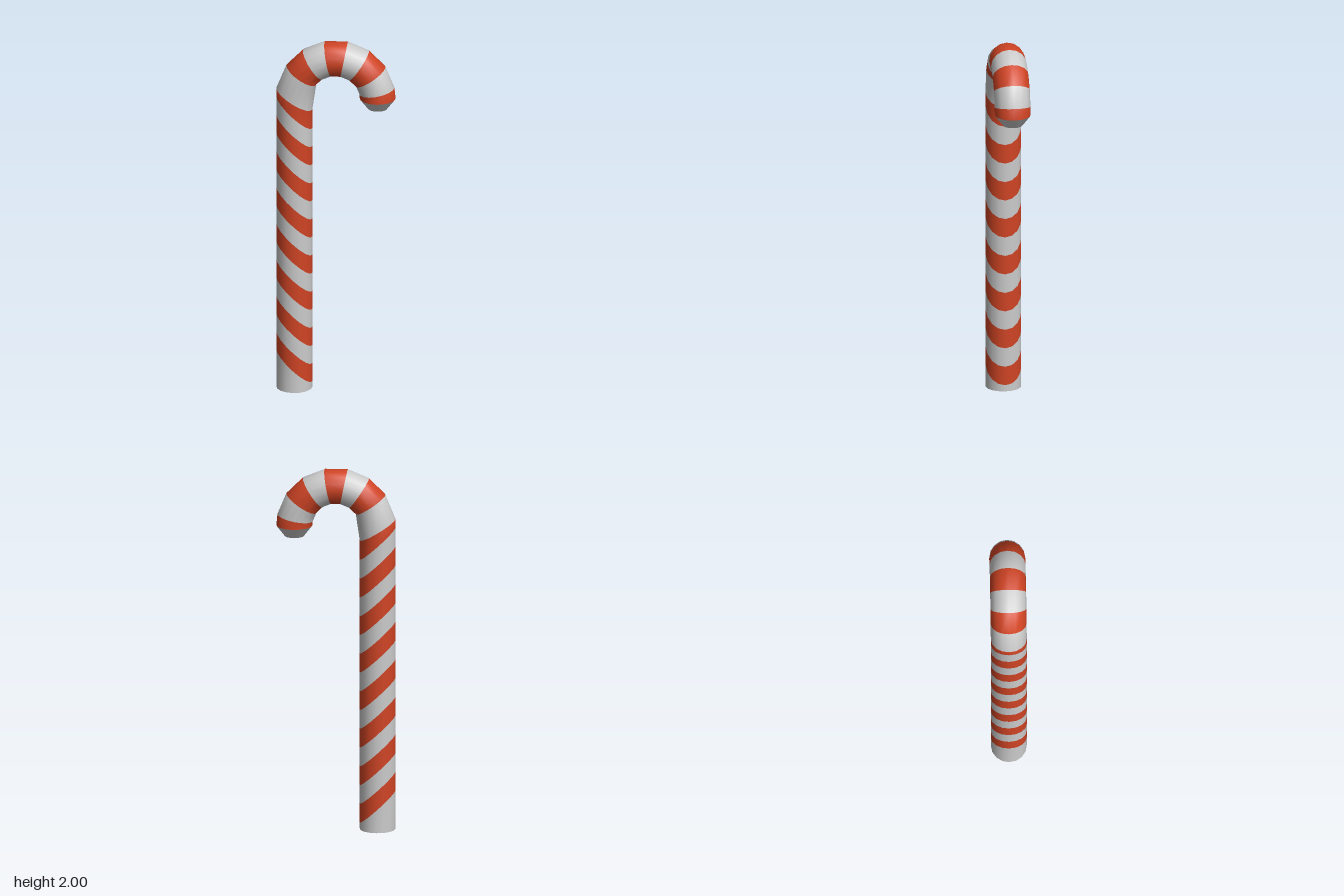
import * as THREE from 'three';

const SIDES = 16, R = 0.097;      // cane thickness
const BEND = 0.225, BEND_Y = 1.685; // centre line of the hook

// Slanted ring on the straight shaft, higher on the outer side
const shaftRing = (y, rise) => (c, s) => [-BEND + R * c, y - rise * c, R * s];

// Ring on the hook, t measured from the top of the bend
const hookRing = (deg) => (c, s) => {
  const t = THREE.MathUtils.degToRad(deg), d = BEND - R * c;
  return [Math.sin(t) * d, BEND_Y + Math.cos(t) * d, R * s];
};

export function createModel() {
  const white = new THREE.MeshStandardMaterial({ color: 0xcccccc });
  const red = new THREE.MeshStandardMaterial({ color: 0xd04424 });

  // Every ring is a border between a white and a red stripe
  const rings = [shaftRing(0, 0)];
  for (let i = 0; i < 15; i++) rings.push(shaftRing(0.125 + 0.1048 * i, 0.09));
  rings.push(shaftRing(1.67, 0.06));
  for (let deg = -56.25; deg < 80; deg += 22.5) rings.push(hookRing(deg));
  rings.push(hookRing(90));

  const positions = [], stripes = [[], []];
  rings.forEach((ring, i) => {
    for (let j = 0; j < SIDES; j++) {
      const a = (j / SIDES) * Math.PI * 2;
      positions.push(...ring(Math.cos(a), Math.sin(a)));
      if (i === rings.length - 1) continue;
      const k = (j + 1) % SIDES;
      const p = i * SIDES + j, q = i * SIDES + k;
      stripes[i % 2].push(p, p + SIDES, q, q, p + SIDES, q + SIDES);
    }
  });

  // Normals are shared so the shading runs smoothly across the stripes
  const tube = new THREE.BufferGeometry();
  tube.setAttribute('position', new THREE.Float32BufferAttribute(positions, 3));
  tube.setIndex([...stripes[0], ...stripes[1]]);
  tube.computeVertexNormals();

  const cane = new THREE.Group();
  cane.name = 'candyCane';
  const add = (name, geometry, material) => {
    const mesh = new THREE.Mesh(geometry, material);
    mesh.name = name;
    cane.add(mesh);
    return mesh;
  };
  ['whiteStripes', 'redStripes'].forEach((name, n) => {
    const g = tube.clone();
    g.setIndex(stripes[n]);
    add(name, g, n ? red : white);
  });

  // Flat foot and chamfered tip
  const foot = add('foot', new THREE.CircleGeometry(R, SIDES), white);
  foot.rotation.x = Math.PI / 2;
  foot.position.x = -BEND;
  const tip = add('hookTip', new THREE.CylinderGeometry(R, 0.052, 0.058, SIDES), white);
  tip.rotation.y = Math.PI / 2;
  tip.position.set(BEND, BEND_Y - 0.029, 0);

  // The hook points to the model's left and back
  cane.rotation.y = THREE.MathUtils.degToRad(35);
  const model = new THREE.Group();
  model.add(cane);
  return model;
}
